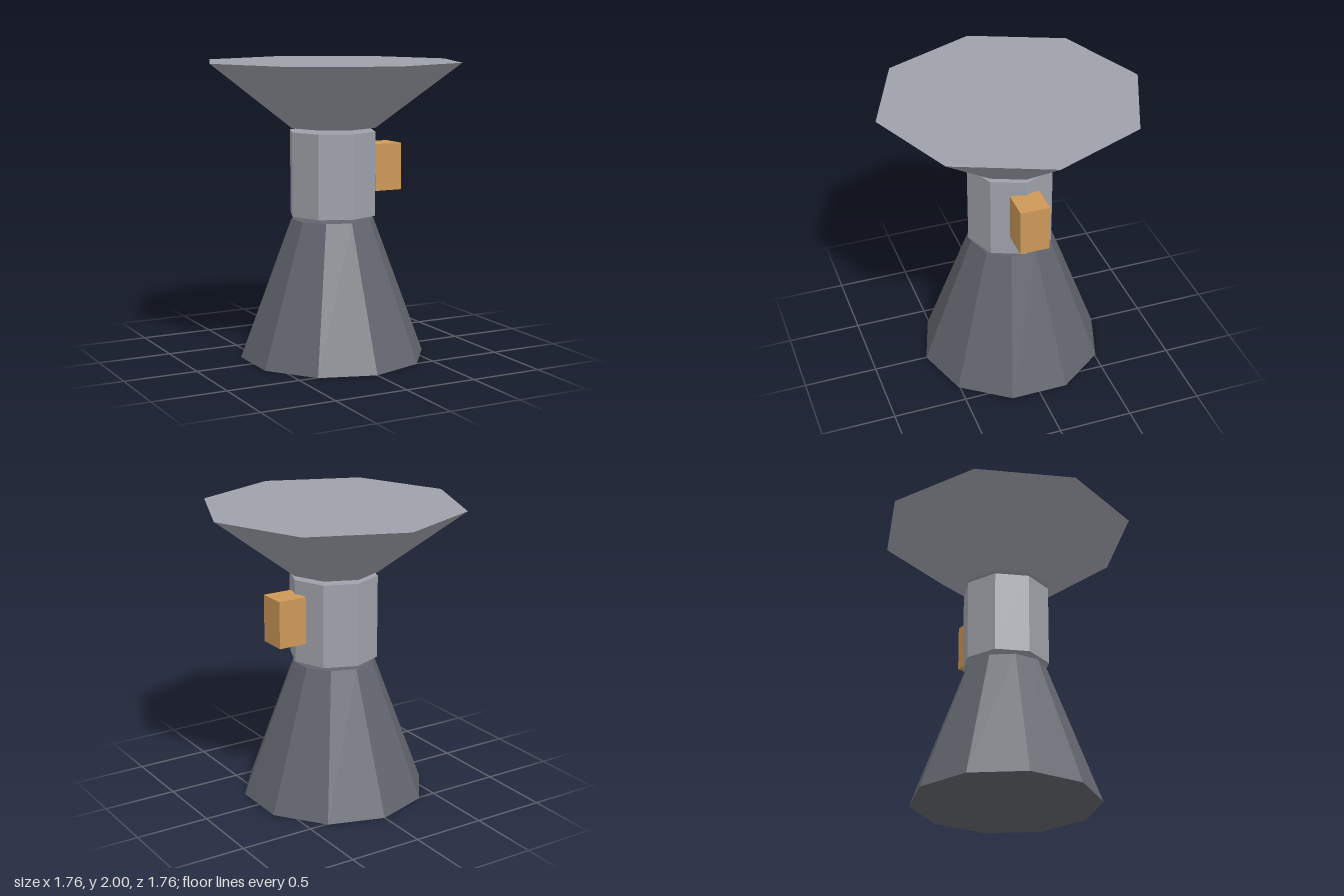
import * as THREE from 'three';

const flat = (name, color) => {
  const material = new THREE.MeshStandardMaterial({ color, flatShading: true });
  material.name = name;
  return material;
};

export function createModel() {
  const lightGrey = flat('lightGrey', 0x9ea1a9);
  const darkGrey = flat('darkGrey', 0x62656e);
  const orange = flat('orange', 0xcd9858);
  const group = new THREE.Group();

  // Faceted, capped section standing between two heights
  const section = (name, material, sides, rBottom, rTop, y0, y1) => {
    const geometry = new THREE.CylinderGeometry(rTop, rBottom, y1 - y0, sides);
    const mesh = new THREE.Mesh(geometry, material);
    mesh.name = name;
    mesh.position.y = (y0 + y1) / 2;
    group.add(mesh);
  };

  // Ten-sided foot, eight-sided neck and flared top, with thin gaps between
  section('base', darkGrey, 10, 0.63, 0.28, 0, 0.945);
  section('neck', lightGrey, 8, 0.3, 0.3, 0.972, 1.536);
  section('flaredTop', lightGrey, 8, 0.3, 0.88, 1.563, 2);

  // Control box on the side of the neck
  const box = new THREE.Mesh(new THREE.BoxGeometry(0.2, 0.32, 0.2), orange);
  box.name = 'sideBox';
  box.position.set(0.377, 1.28, 0);
  group.add(box);

  return group;
}
